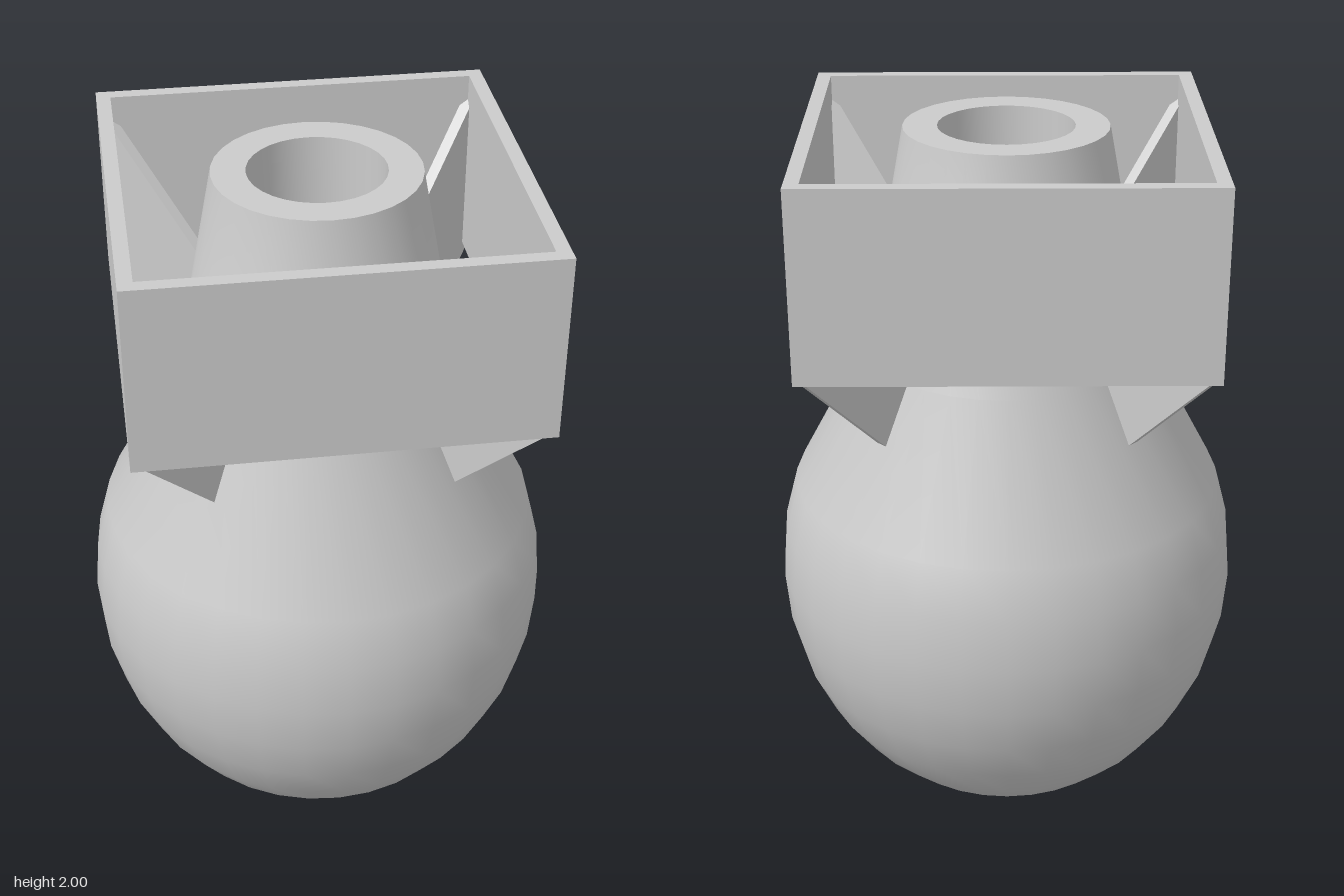
import * as THREE from 'three';
import { toCreasedNormals } from 'three/addons/utils/BufferGeometryUtils.js';

const V = (x, y) => new THREE.Vector2(x, y);
const square = (Type, h) => new Type([V(-h, -h), V(h, -h), V(h, h), V(-h, h)]);

export function createModel() {
  const model = new THREE.Group();
  const material = new THREE.MeshStandardMaterial({ color: 0xcccccc });
  const add = (geometry, name, parent = model) => {
    const mesh = new THREE.Mesh(geometry, material);
    mesh.name = name;
    parent.add(mesh);
    return mesh;
  };

  // Body: rounded belly, shoulder, tapering neck and a socket sunk into its top
  const profile = [];
  for (let i = 0; i <= 10; i++) {
    const a = (i / 16) * Math.PI;
    profile.push(V(0.64 * Math.sin(a), 0.73 - 0.725 * Math.cos(a)));
  }
  profile.push(V(0.385, 1.39), V(0.27, 2), V(0.18, 2), V(0.18, 1.5), V(0, 1.5));
  add(toCreasedNormals(new THREE.LatheGeometry(profile, 32), 0.7), 'body');

  // Square tail frame, open at top and bottom
  const outline = square(THREE.Shape, 0.53);
  outline.holes.push(square(THREE.Path, 0.492));
  const frame = new THREE.ExtrudeGeometry(outline, { depth: 0.505, bevelEnabled: false });
  frame.rotateX(-Math.PI / 2).translate(0, 1.495, 0);
  add(frame, 'tailFrame');

  // Four slanted fins joining the neck to the frame corners
  const finShape = new THREE.Shape([
    V(0.28, 1.24), V(0.465, 1.24), V(0.725, 1.497), V(0.725, 1.96), V(0.28, 1.515),
  ]);
  const finGeometry = new THREE.ExtrudeGeometry(finShape, { depth: 0.032, bevelEnabled: false });
  finGeometry.translate(0, 0, -0.016);
  const fins = new THREE.Group();
  fins.name = 'fins';
  model.add(fins);
  for (let i = 0; i < 4; i++) {
    add(finGeometry, 'fin', fins).rotation.y = Math.PI / 4 + (i * Math.PI) / 2;
  }

  return model;
}
